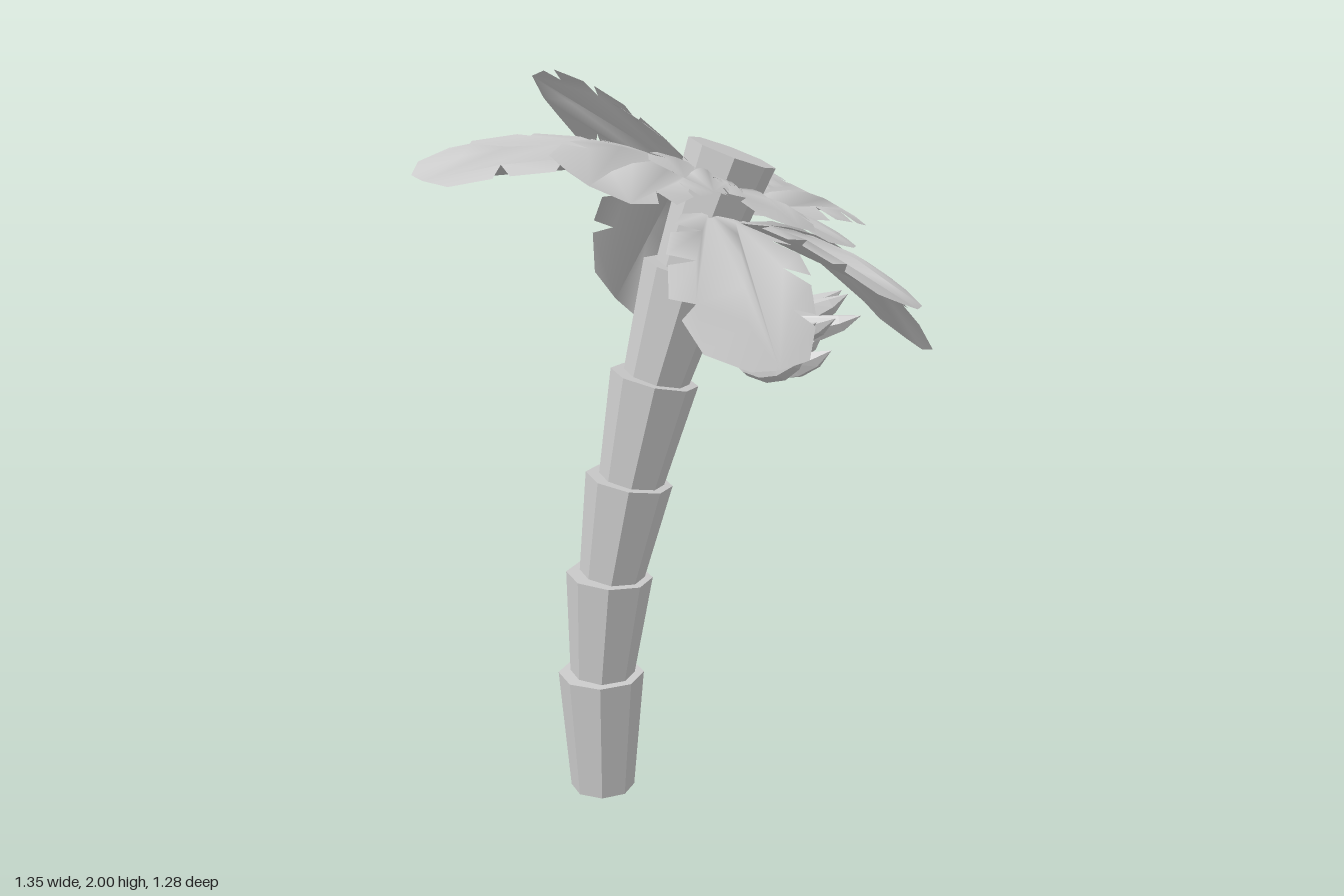
import * as THREE from 'three';
import { mergeVertices, mergeGeometries } from 'three/addons/utils/BufferGeometryUtils.js';

const V = (a) => new THREE.Vector3(...a);
const flat = new THREE.MeshStandardMaterial({ color: 0xcccccc, flatShading: true });
const smooth = new THREE.MeshStandardMaterial({ color: 0xcccccc, side: THREE.DoubleSide });

// The crown leans with the trunk
const CROWN_UP = new THREE.Vector3(0.4, 0.92, 0).normalize();

// Torn leaf edges as [width fraction, length fraction], one per side of the midrib
const EDGE_A = [[0.35, 0.03], [0.75, 0.18], [0.85, 0.32], [0.5, 0.36], [0.92, 0.4], [1, 0.56],
  [0.62, 0.58], [0.98, 0.62], [1, 0.78], [0.66, 0.79], [0.85, 0.86], [0.6, 0.97]];
const EDGE_B = [[0.35, 0.04], [0.8, 0.22], [0.48, 0.28], [0.88, 0.3], [1, 0.46],
  [0.58, 0.49], [0.98, 0.53], [1, 0.69], [0.64, 0.71], [0.98, 0.75], [0.85, 0.9], [0.4, 0.97]];
const RIB = [1, 0.83, 0.67, 0.5, 0.33, 0.17, 0].map((t) => [0, t]);

// Leaf blade: a flat torn outline bent along an arched midrib
function leaf(name, base, tip, halfWidth, arch, roll, swap) {
  const a = V(base), c = V(tip);
  const mid = a.clone().add(c).multiplyScalar(0.5);
  mid.y += 2 * arch;
  const rib = new THREE.QuadraticBezierCurve3(a, mid, c);
  const half = (edge, s) => new THREE.ShapeGeometry(
    new THREE.Shape([...edge, ...RIB].map(([u, t]) => new THREE.Vector2(s * u, t))));
  let geo = mergeGeometries([half(swap ? EDGE_B : EDGE_A, 1), half(swap ? EDGE_A : EDGE_B, -1)]);
  geo.deleteAttribute('uv');
  geo.deleteAttribute('normal');
  geo = mergeVertices(geo);
  const pos = geo.attributes.position;
  for (let i = 0; i < pos.count; i++) {
    const u = pos.getX(i), t = pos.getY(i);
    const tangent = rib.getTangent(t);
    const side = tangent.clone().cross(CROWN_UP).normalize().applyAxisAngle(tangent, roll);
    const normal = side.clone().cross(tangent);
    const p = rib.getPoint(t).addScaledVector(side, u * halfWidth).addScaledVector(normal, -0.1 * halfWidth * u * u);
    pos.setXYZ(i, p.x, p.y, p.z);
  }
  geo.computeVertexNormals();
  const mesh = new THREE.Mesh(geo, smooth);
  mesh.name = name;
  return mesh;
}

// Banana: a six-sided tube swollen in the middle and closed at both ends
function banana(start, bend, end, radius) {
  const curve = new THREE.QuadraticBezierCurve3(start, bend, end);
  const swell = [0, 0.4, 0.85, 1, 1, 0.9, 0.6, 0];
  const geo = new THREE.TubeGeometry(curve, swell.length - 1, radius, 6);
  const pos = geo.attributes.position;
  for (let i = 0; i < pos.count; i++) {
    const ring = Math.floor(i / 7);
    const centre = curve.getPointAt(ring / (swell.length - 1));
    const p = new THREE.Vector3().fromBufferAttribute(pos, i).sub(centre).multiplyScalar(swell[ring]).add(centre);
    pos.setXYZ(i, p.x, p.y, p.z);
  }
  const mesh = new THREE.Mesh(geo, flat);
  mesh.name = 'banana';
  return mesh;
}

export function createModel() {
  const model = new THREE.Group();
  model.name = 'bananaPalm';

  // Leaning trunk of stacked, upward flaring octagonal segments
  const trunk = new THREE.Group();
  trunk.name = 'trunk';
  const joints = [[-0.217, 0], [-0.217, 0.35], [-0.187, 0.643], [-0.13, 0.92], [-0.06, 1.205], [0.027, 1.495], [0.14, 1.8]];
  const tilts = [0, 0.08, 0.18, 0.22, 0.28, 0.35];
  for (let i = 0; i < 6; i++) {
    const [x0, y0] = joints[i], [x1, y1] = joints[i + 1];
    const length = Math.hypot(x1 - x0, y1 - y0);
    const segment = new THREE.Mesh(new THREE.CylinderGeometry(0.12, 0.09, length, 8), flat);
    segment.position.set((x0 + x1) / 2, (y0 + y1) / 2, -0.078);
    segment.rotation.z = -tilts[i];
    segment.name = 'trunkSegment';
    trunk.add(segment);
  }
  model.add(trunk);

  // Crown: large outer leaves, then small inner leaves
  // [base, tip, half width, arch, roll]
  const outer = [
    [[0.06, 1.72, -0.06], [-0.67, 1.76, 0.04], 0.205, 0.09, -0.06],
    [[0.06, 1.7, -0.12], [-0.36, 1.91, -0.39], 0.165, 0.05, 0.55],
    [[0.1, 1.68, -0.12], [0.0, 1.67, -0.64], 0.175, 0.07, 0],
    [[0.14, 1.65, -0.12], [0.48, 1.58, -0.56], 0.165, 0.05, 0],
    [[0.16, 1.62, -0.08], [0.67, 1.25, -0.19], 0.175, 0.11, -0.2],
    [[0.15, 1.62, -0.05], [0.58, 1.46, 0.26], 0.155, 0.06, 0],
    [[0.14, 1.64, -0.03], [0.15, 1.4, 0.64], 0.185, 0.08, 0.15],
    [[0.08, 1.72, -0.04], [-0.21, 1.8, 0.52], 0.165, 0.06, 0],
    [[0.02, 1.67, -0.14], [-0.12, 1.27, -0.56], 0.155, 0.17, -0.3],
  ];
  const inner = [
    [[0.08, 1.72, -0.1], [-0.16, 1.89, -0.25], 0.12, 0.02, 0.3],
    [[0.12, 1.71, -0.12], [0.24, 1.72, -0.4], 0.12, 0.03, 0],
    [[0.16, 1.68, -0.06], [0.44, 1.58, 0.08], 0.13, 0.03, 0],
    [[0.15, 1.7, -0.04], [0.25, 1.68, 0.33], 0.125, 0.04, 0],
    [[0.1, 1.73, -0.05], [0.01, 1.79, 0.33], 0.12, 0.03, 0],
  ];
  const crown = new THREE.Group();
  crown.name = 'crown';
  outer.forEach((args, i) => crown.add(leaf('outerLeaf', ...args, i % 2 === 1)));
  inner.forEach((args, i) => crown.add(leaf('innerLeaf', ...args, i % 2 === 0)));
  model.add(crown);

  // Banana bunch: three fanned tiers curving outward and up
  const bunch = new THREE.Group();
  bunch.name = 'bananaBunch';
  const tiers = [
    { count: 3, reach: 0.19, top: 1.46, sag: 1.37, tip: 1.5, from: -0.1, to: 0.9 },
    { count: 6, reach: 0.39, top: 1.43, sag: 1.3, tip: 1.4, from: -0.75, to: 0.9 },
    { count: 5, reach: 0.32, top: 1.36, sag: 1.19, tip: 1.31, from: -0.65, to: 0.65 },
  ];
  for (const { count, reach, top, sag, tip, from, to } of tiers) {
    for (let i = 0; i < count; i++) {
      const angle = from + (to - from) * i / (count - 1);
      const length = reach * (i % 2 ? 1 : 0.92);
      const at = (r, y) => new THREE.Vector3(0.09 + r * Math.cos(angle), y, -0.04 + r * Math.sin(angle));
      bunch.add(banana(at(0.02, top), at(length * 0.5, sag), at(length, tip + (i % 3) * 0.015), 0.04));
    }
  }
  const stalk = new THREE.Mesh(new THREE.TubeGeometry(new THREE.QuadraticBezierCurve3(
    V([0.05, 1.56, -0.07]), V([0.13, 1.54, -0.04]), V([0.11, 1.34, -0.04])), 6, 0.025, 6), flat);
  stalk.name = 'bunchStalk';
  bunch.add(stalk);
  model.add(bunch);

  return model;
}
